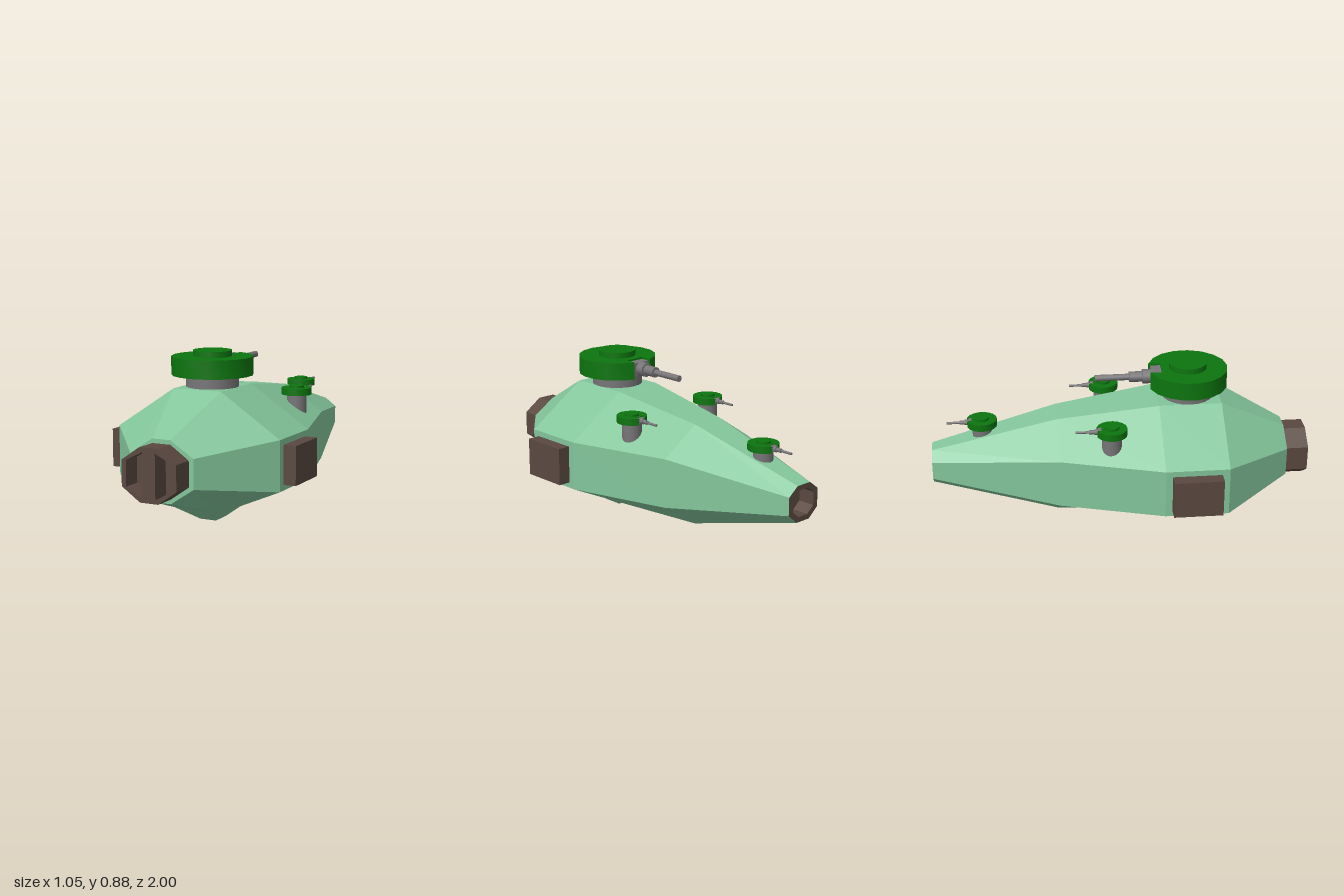
import * as THREE from 'three';
import { toCreasedNormals } from 'three/addons/utils/BufferGeometryUtils.js';

const mat = (name, color) => {
  const m = new THREE.MeshStandardMaterial({ color });
  m.name = name;
  return m;
};

// Eight-sided section, counter-clockwise seen from the front
const octagon = (w, lo, hi, t, top, bottom) => [
  [w, lo], [w, hi], [t, top], [-t, top], [-w, hi], [-w, lo], [-t, bottom], [t, bottom],
];

// Flat-faced skin through a row of loops, with optional end caps
function skin(loops, capFirst, capLast) {
  const pos = [];
  const tri = (a, b, c) => pos.push(...a, ...b, ...c);
  for (let s = 0; s < loops.length - 1; s++) {
    const a = loops[s], b = loops[s + 1];
    a.forEach((p, i) => {
      const j = (i + 1) % a.length;
      tri(p, b[i], a[j]);
      tri(a[j], b[i], b[j]);
    });
  }
  const fan = (l) => { for (let i = 1; i < l.length - 1; i++) tri(l[0], l[i], l[i + 1]); };
  if (capFirst) fan(loops[0]);
  if (capLast) fan([...loops[loops.length - 1]].reverse());
  const g = new THREE.BufferGeometry();
  g.setAttribute('position', new THREE.Float32BufferAttribute(pos, 3));
  g.computeVertexNormals();
  return g;
}

const toShape = (pts) => new THREE.Shape(pts.map(([x, y]) => new THREE.Vector2(x, y)));

// Plate with openings, extruded along +z from z0
function holed(outline, holes, z0, depth) {
  const s = toShape(outline);
  holes.forEach((h) => s.holes.push(toShape(h)));
  return new THREE.ExtrudeGeometry(s, { depth, bevelEnabled: false }).translate(0, 0, z0);
}

export function createModel() {
  const hullGreen = mat('pale green', 0x83c59b);
  const turretGreen = mat('deep green', 0x0d750f);
  const metal = mat('grey metal', 0x777577);
  const brown = mat('dark brown', 0x5a4840);

  const model = new THREE.Group();
  const add = (parent, name, geometry, material, x = 0, y = 0, z = 0) => {
    const m = new THREE.Mesh(geometry, material);
    m.name = name;
    m.position.set(x, y, z);
    parent.add(m);
    return m;
  };

  // Hull: z, side half width, side low/high, top half width, top, bottom
  const sections = [
    [0.88, 0.175, 0.27, 0.42, 0.05, 0.5, 0.187],
    [0.525, 0.46, 0.215, 0.475, 0.135, 0.69, 0.075],
    [0.195, 0.46, 0.215, 0.475, 0.135, 0.69, 0.075],
    [-0.34, 0.302, 0.215, 0.475, 0.09, 0.615, 0.075],
    [-1, 0.105, 0.3, 0.395, 0.045, 0.44, 0.25],
  ];
  const loops = sections.map(([z, ...o]) => octagon(...o).map(([x, y]) => [x, y, z]));
  add(model, 'hull', skin(loops, true, false), hullGreen);

  // Keel block under the hull
  const rect = (x, y, z0, z1) => [[x, y, z1], [x, y, z0], [-x, y, z0], [-x, y, z1]];
  add(model, 'keel', skin([rect(0.135, 0.075, 0.195, 0.525), rect(0.045, 0, 0.305, 0.415)], false, true), hullGreen);

  // Nose intake with two recessed openings
  const opening = (s) => [[0.035, 0.23], [0.125, 0.28], [0.125, 0.41], [0.035, 0.455]].map(([x, y]) => [x * s, y]);
  const nose = octagon(0.15, 0.28, 0.41, 0.05, 0.478, 0.21);
  add(model, 'noseIntake', holed(nose, [opening(1), opening(-1)], 0.88, 0.12), brown);
  add(model, 'noseIntakeBack', holed(nose, [], 0.88, 0.02), brown);

  // Tail exhaust, recessed into the stern
  const tail = octagon(...sections[4].slice(1));
  const tailHole = tail.map(([x, y]) => [x * 0.72, 0.346 + (y - 0.346) * 0.72]);
  add(model, 'tailExhaust', holed(tail, [tailHole], -1, 0.1), brown);
  add(model, 'tailExhaustBack', holed(tail, [], -0.91, 0.01), brown);

  // Side pods
  for (const s of [1, -1]) {
    add(model, s > 0 ? 'leftPod' : 'rightPod', new THREE.BoxGeometry(0.1, 0.2, 0.255), brown, s * 0.477, 0.345, 0.358);
  }

  // Turret disc outline with a gun notch facing the stern
  const half = Math.asin(0.055 / 0.21);
  const ring = [];
  for (let i = 0; i <= 16; i++) {
    const a = Math.PI / 2 + half + (i / 16) * (Math.PI * 2 - half * 2);
    ring.push([Math.cos(a) * 0.21, Math.sin(a) * 0.21]);
  }
  ring.push([0.055, 0.14], [-0.055, 0.14]);
  const disc = toCreasedNormals(holed(ring, [], 0, 0.095).rotateX(-Math.PI / 2), 0.6);
  const cap = new THREE.CylinderGeometry(0.1, 0.1, 0.03, 20);

  function turret(name, x, y, z, scale, stem) {
    const g = new THREE.Group();
    g.name = name;
    g.position.set(x, y, z);
    g.scale.setScalar(scale);
    add(g, 'disc', disc, turretGreen);
    add(g, 'hatch', cap, turretGreen, 0, 0.11, 0);
    add(g, 'stem', new THREE.CylinderGeometry(0.136, 0.136, stem, 20), metal, 0, -stem / 2, 0);
    add(g, 'gunMount', new THREE.BoxGeometry(0.108, 0.07, 0.055), metal, 0, 0.05, -0.165);
    // Stepped barrel: radius, start, end
    for (const [r, a, b] of [[0.038, 0.18, 0.24], [0.028, 0.24, 0.31], [0.017, 0.31, 0.49]]) {
      add(g, 'barrel', new THREE.CylinderGeometry(r, r, b - a, 12).rotateX(Math.PI / 2), metal, 0, 0.05, -(a + b) / 2);
    }
    model.add(g);
  }
  turret('mainTurret', 0, 0.75, 0.36, 1, 0.07);
  turret('leftTurret', 0.277, 0.609, -0.065, 0.38, 0.32);
  turret('rightTurret', -0.277, 0.609, -0.065, 0.38, 0.32);
  turret('rearTurret', 0, 0.554, -0.73, 0.38, 0.2);

  return model;
}
